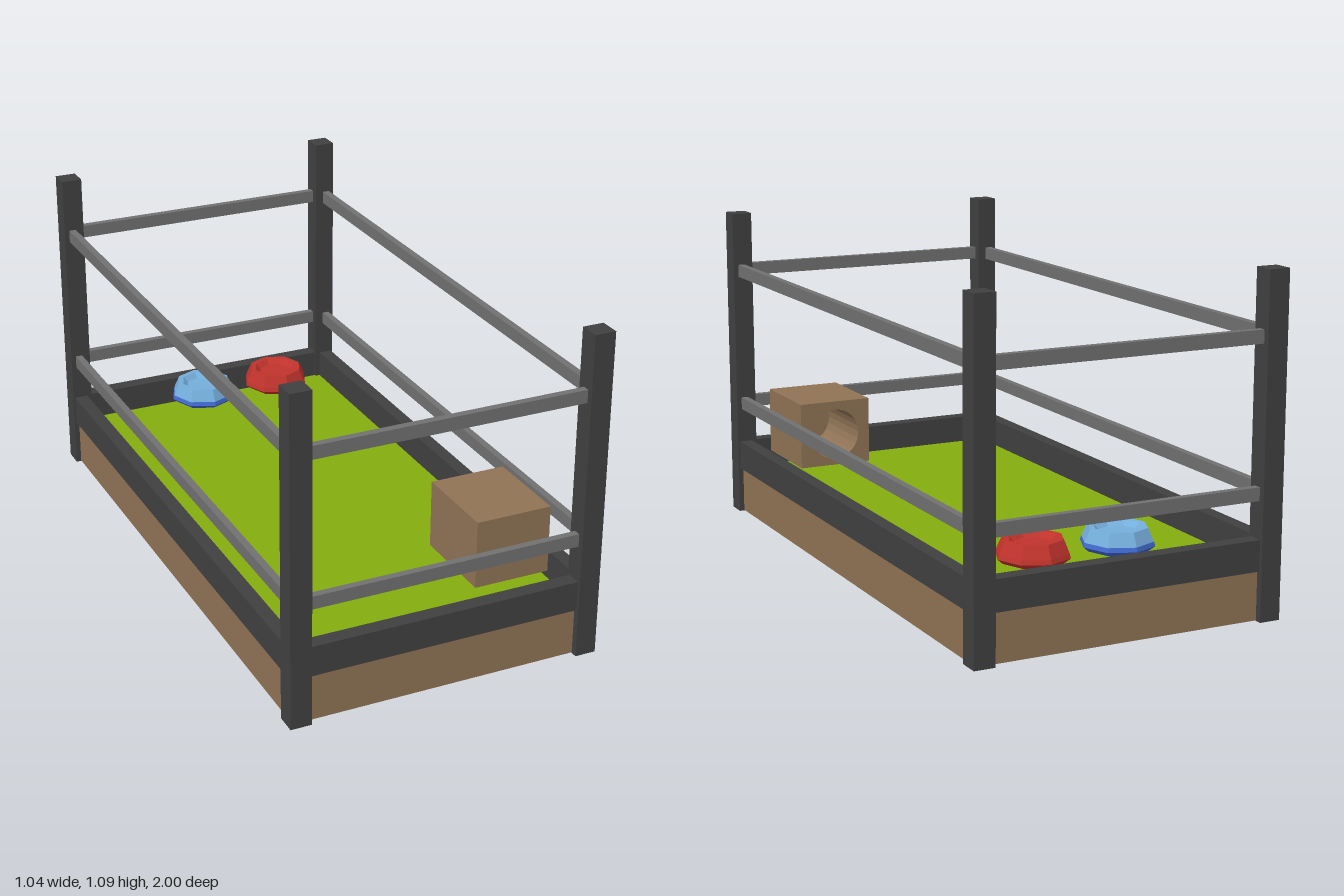
import * as THREE from 'three';

const mat = (name, color) => {
  const m = new THREE.MeshStandardMaterial({ color });
  m.name = name;
  return m;
};

export function createModel() {
  const root = new THREE.Group();
  const charcoal = mat('charcoal', 0x404041);
  const grey = mat('rail grey', 0x707070);
  const wood = mat('wood brown', 0x8f7355);
  const green = mat('grass green', 0x84ac0e);
  const lightBlue = mat('light blue', 0x74aedb);
  const deepBlue = mat('deep blue', 0x4169cf);
  const red = mat('red', 0xc0332c);

  const add = (name, geo, material, x = 0, y = 0, z = 0, parent = root) => {
    const mesh = new THREE.Mesh(geo, material);
    mesh.name = name;
    mesh.position.set(x, y, z);
    parent.add(mesh);
    return mesh;
  };
  // Box given by its size, centre x/z and bottom/top heights
  const block = (name, material, w, d, x, z, y0, y1) =>
    add(name, new THREE.BoxGeometry(w, y1 - y0, d), material, x, (y0 + y1) / 2, z);

  // Wooden base and grass floor
  block('base', wood, 1.01, 1.955, 0, 0, 0.002, 0.16);
  block('grassFloor', green, 0.95, 1.89, 0, 0, 0.158, 0.165);

  // Corner posts
  for (const sx of [-1, 1]) for (const sz of [-1, 1])
    block('cornerPost', charcoal, 0.07, 0.07, sx * 0.487, sz * 0.965, 0, 1.09);

  // Frame boards and two levels of rails on every side
  for (const s of [-1, 1]) {
    block('sideBoard', charcoal, 0.046, 1.87, s * 0.492, 0, 0.16, 0.26);
    block('endBoard', charcoal, 0.92, 0.05, 0, s * 0.963, 0.16, 0.26);
    for (const y of [0.38, 0.864]) {
      block('sideRail', grey, 0.024, 1.87, s * 0.493, 0, y, y + 0.043);
      block('endRail', grey, 0.92, 0.024, 0, s * 0.967, y, y + 0.043);
    }
  }

  // Shelter box with a round entrance facing the back
  const house = new THREE.Group();
  house.name = 'shelter';
  const outline = new THREE.Shape([[-0.128, 0.235], [0.128, 0.235], [0.128, 0.462], [-0.128, 0.462]]
    .map(([x, y]) => new THREE.Vector2(x, y)));
  const hole = new THREE.Path();
  hole.absarc(0, 0.345, 0.088, 0, Math.PI * 2, true);
  outline.holes.push(hole);
  add('shelterTunnel', new THREE.ExtrudeGeometry(outline,
    { depth: 0.27, bevelEnabled: false, curveSegments: 12 }), wood, 0, 0, 0.55, house);
  add('shelterBackWall', new THREE.BoxGeometry(0.256, 0.227, 0.03), wood, 0, 0.3485, 0.835, house);
  house.position.x = 0.298;
  root.add(house);

  // Faceted eight-sided bowls, split into a foot and an upper dish
  const lathe = (pts) => {
    const g = new THREE.LatheGeometry(pts.map(([r, y]) => new THREE.Vector2(r, y)), 8).toNonIndexed();
    g.computeVertexNormals();
    return g;
  };
  const foot = lathe([[0, 0.235], [0.1, 0.235], [0.118, 0.25], [0.114, 0.264]]);
  const dish = lathe([[0.114, 0.264], [0.095, 0.305], [0.078, 0.304], [0.06, 0.288], [0, 0.286]]);
  const bowl = (name, x, footMat, dishMat) => {
    const g = new THREE.Group();
    g.name = name;
    add('bowlFoot', foot, footMat, 0, 0, 0, g);
    add('bowlDish', dish, dishMat, 0, 0, 0, g);
    g.position.set(x, 0, -0.79);
    root.add(g);
  };
  bowl('waterBowl', -0.068, deepBlue, lightBlue);
  bowl('foodBowl', 0.222, red, red);

  return root;
}
